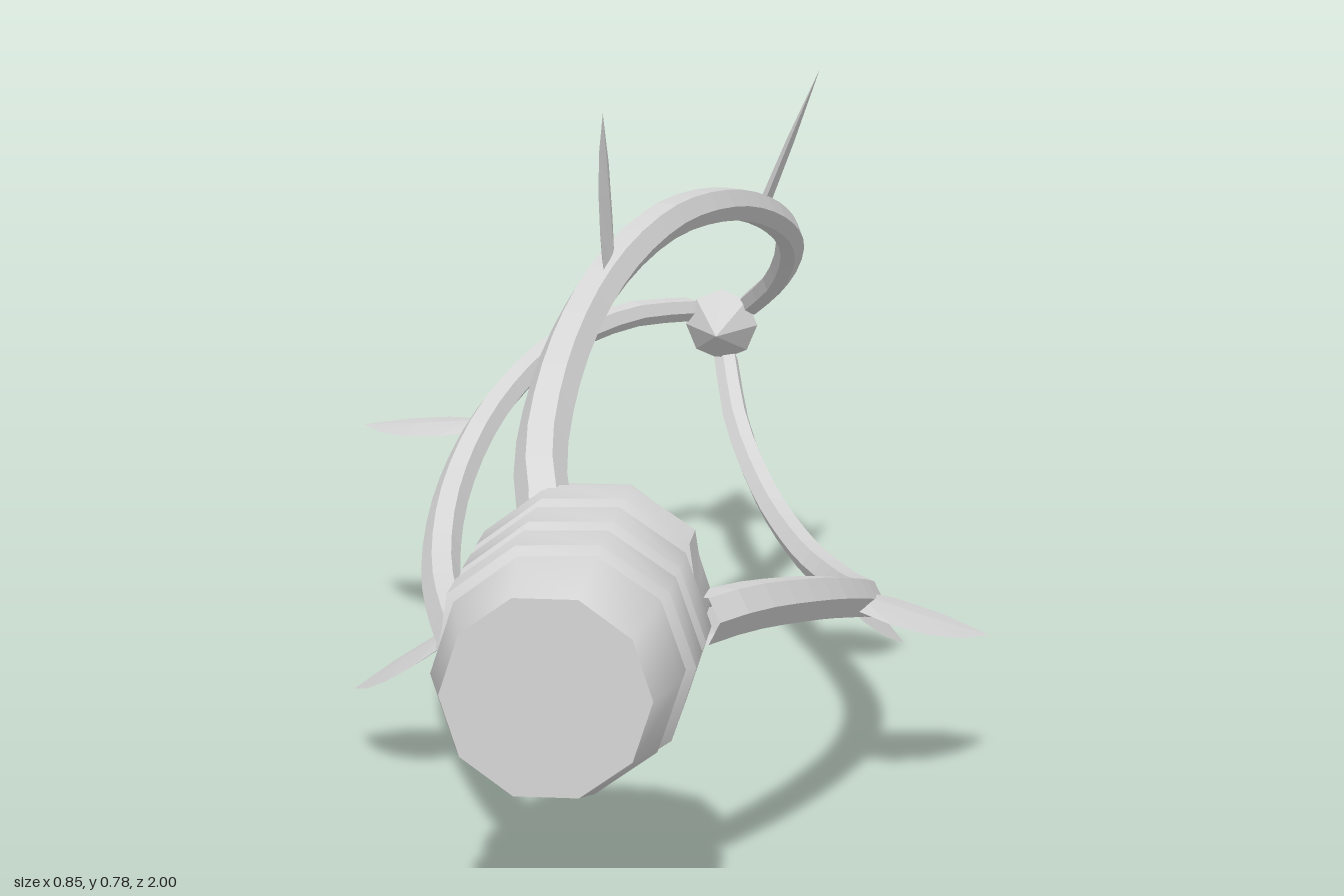
import * as THREE from 'three';
import { toCreasedNormals } from 'three/addons/utils/BufferGeometryUtils.js';
import { ConvexGeometry } from 'three/addons/geometries/ConvexGeometry.js';

const V = (x, y, z) => new THREE.Vector3(x, y, z);
const SIDES = 10;

const flat = (g) => {
  const out = g.index ? g.toNonIndexed() : g;
  out.computeVertexNormals();
  return out;
};

// Profile of [radius, z] pairs turned around the z axis
function turned(profile, sides, start = 0) {
  const pts = profile.map(([r, z]) => new THREE.Vector2(r, z));
  return new THREE.LatheGeometry(pts, sides, start).rotateX(Math.PI / 2);
}

// Raised band winding round the grip, sinking into it at both ends
function wrapGeometry(z0, z1, turns) {
  const n = Math.round(turns * SIDES), pos = [], idx = [];
  for (let i = 0; i <= n; i++) {
    const t = i / n, a = (i / SIDES) * Math.PI * 2;
    const top = i === 0 || i === n ? 0.121 : 0.136;
    for (const [r, dz] of [[0.121, -0.041], [top, -0.03], [top, 0.03], [0.121, 0.041]]) {
      pos.push(r * Math.cos(a), r * Math.sin(a), z0 + (z1 - z0) * t + dz);
    }
    for (let j = 0; i < n && j < 3; j++) {
      const p = i * 4 + j, q = p + 4;
      idx.push(p, q, p + 1, q, q + 1, p + 1);
    }
  }
  const g = new THREE.BufferGeometry();
  g.setAttribute('position', new THREE.Float32BufferAttribute(pos, 3));
  g.setIndex(idx);
  return toCreasedNormals(g, 0.68);
}

// Tube narrowing from r0 to r1 along a curve
function taperedTube(curve, segs, sides, r0, r1) {
  const g = new THREE.TubeGeometry(curve, segs, 1, sides, false);
  const p = g.attributes.position, v = V(0, 0, 0);
  for (let i = 0; i <= segs; i++) {
    const c = curve.getPointAt(i / segs), r = r0 + (r1 - r0) * (i / segs);
    for (let j = 0; j <= sides; j++) {
      const k = i * (sides + 1) + j;
      v.fromBufferAttribute(p, k).sub(c).multiplyScalar(r).add(c);
      p.setXYZ(k, v.x, v.y, v.z);
    }
  }
  return flat(g);
}

// Thin pointed leaf: x runs outward, y runs toward the tip of the model
function leafGeometry() {
  const outline = [[-0.015, -0.045], [0.04, -0.038], [0.085, -0.012], [0.125, 0.035], [0.158, 0.1],
    [0.1, 0.102], [0.04, 0.08], [-0.015, 0.035]];
  const pts = outline.map(([x, y]) => V(x, y, 0));
  for (const s of [-1, 1]) pts.push(V(-0.01, 0, 0.007 * s), V(0.07, 0.04, 0.005 * s));
  return new ConvexGeometry(pts);
}

export function createModel() {
  const grey = new THREE.MeshStandardMaterial({ color: 0xd6d6d6 });
  grey.name = 'grey';
  grey.side = THREE.DoubleSide;

  const model = new THREE.Group();
  model.name = 'vineCage';
  const body = new THREE.Group();
  body.name = 'body';
  body.position.set(0.013, 0.351, 0);
  model.add(body);

  const add = (name, geo, parent = body) => {
    const m = new THREE.Mesh(geo, grey);
    m.name = name;
    parent.add(m);
    return m;
  };

  // Grip with bevelled ends and a spiral wrap
  add('grip', toCreasedNormals(turned([[0, 0.575], [0.117, 0.575], [0.126, 0.6], [0.126, 0.925],
    [0.106, 1], [0, 1]], SIDES, Math.PI / 2), 0.68));
  add('gripWrap', wrapGeometry(0.65, 0.895, 2.5));

  // Pointed spindle where the vines meet
  add('spike', flat(turned([[0, -1], [0.05, -0.85], [0, -0.765]], 8)));

  // Three bowed vines, each with two leaves
  const path = new THREE.CatmullRomCurve3([
    V(-0.047, 0.105, 0.655), V(-0.061, 0.14, 0.58), V(-0.06, 0.21, 0.4), V(-0.034, 0.268, 0.2),
    V(0.012, 0.297, 0), V(0.064, 0.284, -0.2), V(0.104, 0.235, -0.4),
    V(0.114, 0.162, -0.6), V(0.085, 0.085, -0.75), V(0.04, 0.03, -0.855),
  ]);
  const vineGeo = taperedTube(path, 28, 6, 0.029, 0.017);
  const leafGeo = leafGeometry();
  const leaves = [
    { at: V(-0.034, 0.282, 0.195), angle: 1.685 },
    { at: V(0.103, 0.267, -0.37), angle: 1.2 },
  ];
  for (let i = 0; i < 3; i++) {
    const vine = new THREE.Group();
    vine.name = 'vine' + (i + 1);
    vine.rotation.z = (i * Math.PI * 2) / 3;
    body.add(vine);
    add('stem', vineGeo, vine);
    for (const { at, angle } of leaves) {
      const out = V(Math.cos(angle), Math.sin(angle), 0), along = V(0, 0, -1);
      const leaf = add('leaf', leafGeo, vine);
      leaf.quaternion.setFromRotationMatrix(
        new THREE.Matrix4().makeBasis(out, along, out.clone().cross(along)));
      leaf.position.copy(at);
    }
  }
  return model;
}
